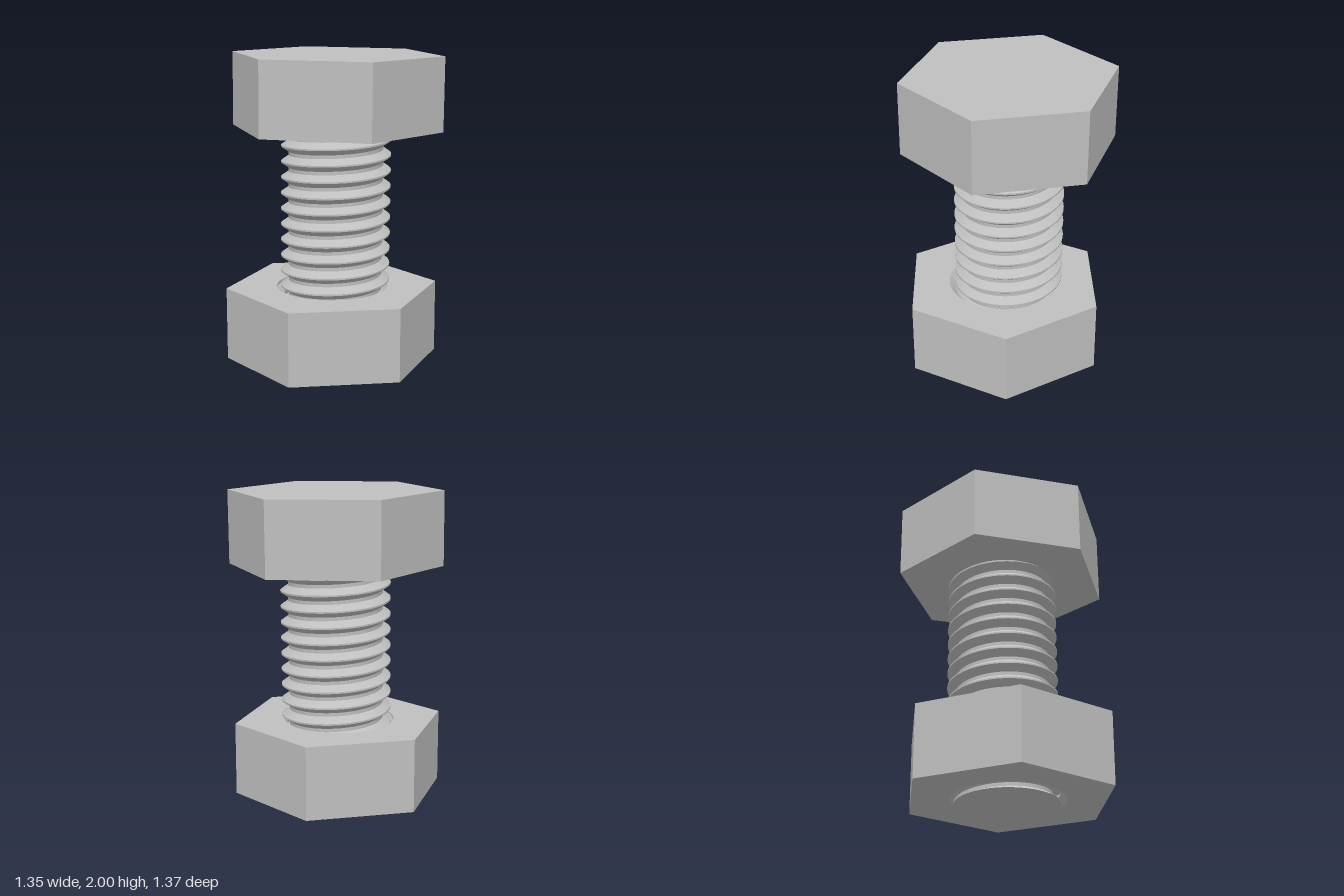
import * as THREE from 'three';
import { toCreasedNormals } from 'three/addons/utils/BufferGeometryUtils.js';

const PITCH = 0.102, CREST = 0.352, ROOT = 0.303, PHASE = 1.369, SEG = 96;
const HEX = 0.685;

// Thread radius at height y and angle a: flat crest, sloping flanks, flat root
function threadRadius(y, a) {
  const t = (y - PHASE) / PITCH - a / (2 * Math.PI);
  const d = Math.abs(t - Math.round(t));
  return THREE.MathUtils.lerp(CREST, ROOT, THREE.MathUtils.clamp((d - 0.05) / 0.34, 0, 1));
}

// Right-hand helical surface between two heights; inward flips it for a hole
function threadGeometry(y0, y1, radius, inward = false) {
  const pos = [];
  const corners = [-0.05, 0.05, 0.39, 0.61];
  const point = (row, i) => {
    const a = (i / SEG) * Math.PI * 2;
    const turn = Math.floor(row / 4) + corners[row % 4] + i / SEG;
    const y = THREE.MathUtils.clamp(y0 + turnOffset + turn * PITCH, y0, y1);
    const r = radius(y, a);
    return [r * Math.cos(a), y, -r * Math.sin(a)];
  };
  // first row starts more than one turn below y0, on the thread's phase
  const k = Math.floor((y0 - PHASE) / PITCH) - 2;
  const turnOffset = PHASE + k * PITCH - y0;
  const rows = 4 * (Math.ceil((y1 - y0) / PITCH) + 4);
  const tri = (a, b, c) => {
    if (a[1] === b[1] && b[1] === c[1]) return;
    pos.push(...a, ...(inward ? c : b), ...(inward ? b : c));
  };
  for (let j = 0; j < rows; j++) {
    for (let i = 0; i < SEG; i++) {
      const a = point(j, i), b = point(j, i + 1), c = point(j + 1, i + 1), d = point(j + 1, i);
      tri(a, b, c);
      tri(a, c, d);
    }
  }
  const geo = new THREE.BufferGeometry();
  geo.setAttribute('position', new THREE.Float32BufferAttribute(pos, 3));
  return toCreasedNormals(geo, 0.5);
}

function polygon(count, radius) {
  return Array.from({ length: count }, (_, i) => {
    const a = Math.PI / 2 + (i / count) * Math.PI * 2;
    const r = typeof radius === 'function' ? radius(a) : radius;
    return new THREE.Vector2(r * Math.cos(a), r * Math.sin(a));
  });
}

export function createModel() {
  const steel = new THREE.MeshStandardMaterial({ color: 0xbfbfbf });
  steel.name = 'steel grey';
  const hexSteel = steel.clone();
  hexSteel.name = 'steel grey flat';
  hexSteel.flatShading = true;

  const model = new THREE.Group();
  model.name = 'boltAndNut';
  const add = (parent, name, geo, mat = steel) => {
    const mesh = new THREE.Mesh(geo, mat);
    mesh.name = name;
    parent.add(mesh);
    return mesh;
  };

  // Bolt, leaning very slightly to its left
  const bolt = new THREE.Group();
  bolt.name = 'bolt';
  bolt.position.set(-0.02, 0, -0.017);
  bolt.rotation.z = -0.0105;
  model.add(bolt);

  const head = add(bolt, 'boltHead', new THREE.CylinderGeometry(HEX, HEX, 0.473, 6), hexSteel);
  head.position.y = 1.756;
  head.rotation.y = THREE.MathUtils.degToRad(40.1);

  const tip = 0.006;
  add(bolt, 'threadedShank', threadGeometry(tip, 1.53, threadRadius));
  const end = new THREE.ShapeGeometry(new THREE.Shape(polygon(SEG, (a) => threadRadius(tip, a % (2 * Math.PI)))));
  // seen from below: shape y becomes -z, then the face is turned over
  end.rotateX(-Math.PI / 2);
  const order = end.index.array;
  for (let i = 0; i < order.length; i += 3) [order[i], order[i + 1]] = [order[i + 1], order[i]];
  end.computeVertexNormals();
  add(bolt, 'shankEnd', end).position.y = tip;

  // Hexagonal nut, sitting a little off the bolt's axis
  const low = 0.03, high = 0.5, mouth = 0.358;
  const nut = new THREE.Group();
  nut.name = 'nut';
  nut.position.x = -0.0525;
  model.add(nut);

  const sides = new THREE.CylinderGeometry(HEX, HEX, high - low, 6, 1, true);
  add(nut, 'nutSides', sides, hexSteel).position.y = (low + high) / 2;

  const face = new THREE.Shape(polygon(6, HEX));
  face.holes.push(new THREE.Path(polygon(SEG, mouth)));
  for (const [name, y, turn] of [['nutTop', high, -1], ['nutUnderside', low, 1]]) {
    const plate = add(nut, name, new THREE.ShapeGeometry(face));
    plate.rotation.x = (turn * Math.PI) / 2;
    plate.position.y = y;
  }

  // Threaded hole with bevelled mouths
  const holeRadius = (y, a) =>
    Math.max(threadRadius(y, a) + 0.004, mouth - Math.min(y - low, high - y));
  add(nut, 'nutThread', threadGeometry(low, high, holeRadius, true));

  return model;
}
